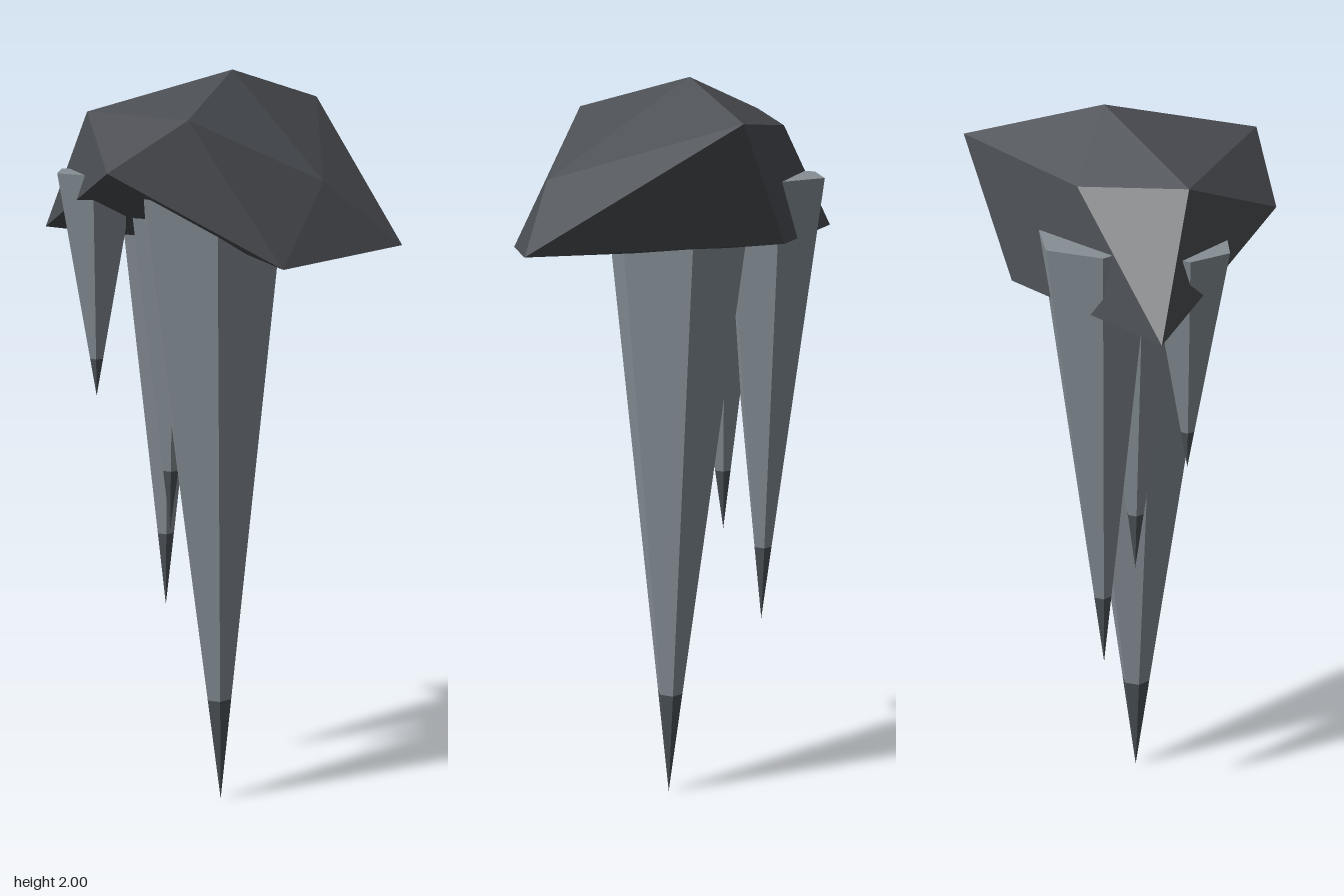
import * as THREE from 'three';

const make = (name, color) => {
  const m = new THREE.MeshStandardMaterial({ color, flatShading: true });
  m.name = name;
  return m;
};

// Faceted boulder: a top point, two staggered rings of five, and a bottom point
function rockGeometry() {
  const top = [0.01, 2.0, -0.04];
  const upper = [
    [0.03, 1.91, -0.4], [0.37, 1.74, 0.06], [0.16, 1.9, 0.345],
    [-0.3, 1.89, 0.185], [-0.24, 1.87, -0.09],
  ];
  const lower = [
    [0.5, 1.57, -0.11], [0.39, 1.54, 0.26], [-0.055, 1.76, 0.4],
    [-0.5, 1.565, 0.13], [-0.155, 1.585, -0.265],
  ];
  const bottom = [0.02, 1.54, 0.0];
  const p = [];
  for (let i = 0; i < 5; i++) {
    const j = (i + 1) % 5;
    p.push(...top, ...upper[j], ...upper[i]);
    p.push(...upper[i], ...upper[j], ...lower[i]);
    p.push(...upper[j], ...lower[j], ...lower[i]);
    p.push(...lower[i], ...lower[j], ...bottom);
  }
  const g = new THREE.BufferGeometry();
  g.setAttribute('position', new THREE.Float32BufferAttribute(p, 3));
  g.computeVertexNormals();
  return g;
}

const CAP_Y = 1.735; // height of the flat spike tops
const TIP = 0.17;    // share of the length that is dark tip

// Six-sided hanging spike, leaning from its cap centre to its tip
function spike({ name, tip, cap, rx, rz, angle }, stone, dark) {
  const group = new THREE.Group();
  group.name = name;
  const height = CAP_Y - tip[1];
  const start = THREE.MathUtils.degToRad(90 - angle);
  const section = (t0, t1, label, material, open) => {
    const g = new THREE.CylinderGeometry(t1, t0, t1 - t0, 6, 1, open, start);
    g.translate(0, (t0 + t1) / 2, 0);
    const p = g.attributes.position;
    for (let i = 0; i < p.count; i++) {
      const t = p.getY(i);
      p.setXYZ(i,
        p.getX(i) * rx + tip[0] + (cap[0] - tip[0]) * t,
        tip[1] + height * t,
        p.getZ(i) * rz + tip[2] + (cap[1] - tip[2]) * t);
    }
    g.computeVertexNormals();
    const mesh = new THREE.Mesh(g, material);
    mesh.name = label;
    group.add(mesh);
  };
  section(TIP, 1, 'spikeBody', stone, false);
  section(0, TIP, 'spikeTip', dark, true);
  return group;
}

export function createModel() {
  const rockMat = make('dark rock', 0x4a4d52);
  const stoneMat = make('pale stone', 0x868f96);
  const tipMat = make('dark tip', 0x4c5358);

  const model = new THREE.Group();
  model.name = 'hangingRock';

  const rock = new THREE.Mesh(rockGeometry(), rockMat);
  rock.name = 'rock';
  model.add(rock);

  // Spikes from longest to shortest
  const spikes = [
    { name: 'longSpike', tip: [0.035, 0, 0.045], cap: [0.005, 0.045], rx: 0.205, rz: 0.235, angle: 45 },
    { name: 'backSpike', tip: [-0.215, 0.5, -0.03], cap: [-0.225, -0.05], rx: 0.15, rz: 0.15, angle: 48 },
    { name: 'middleSpike', tip: [-0.135, 0.75, 0.05], cap: [-0.12, 0.05], rx: 0.14, rz: 0.14, angle: 50 },
    { name: 'shortSpike', tip: [-0.275, 1.13, 0.19], cap: [-0.27, 0.183], rx: 0.115, rz: 0.115, angle: 55 },
  ];
  for (const s of spikes) model.add(spike(s, stoneMat, tipMat));
  return model;
}
